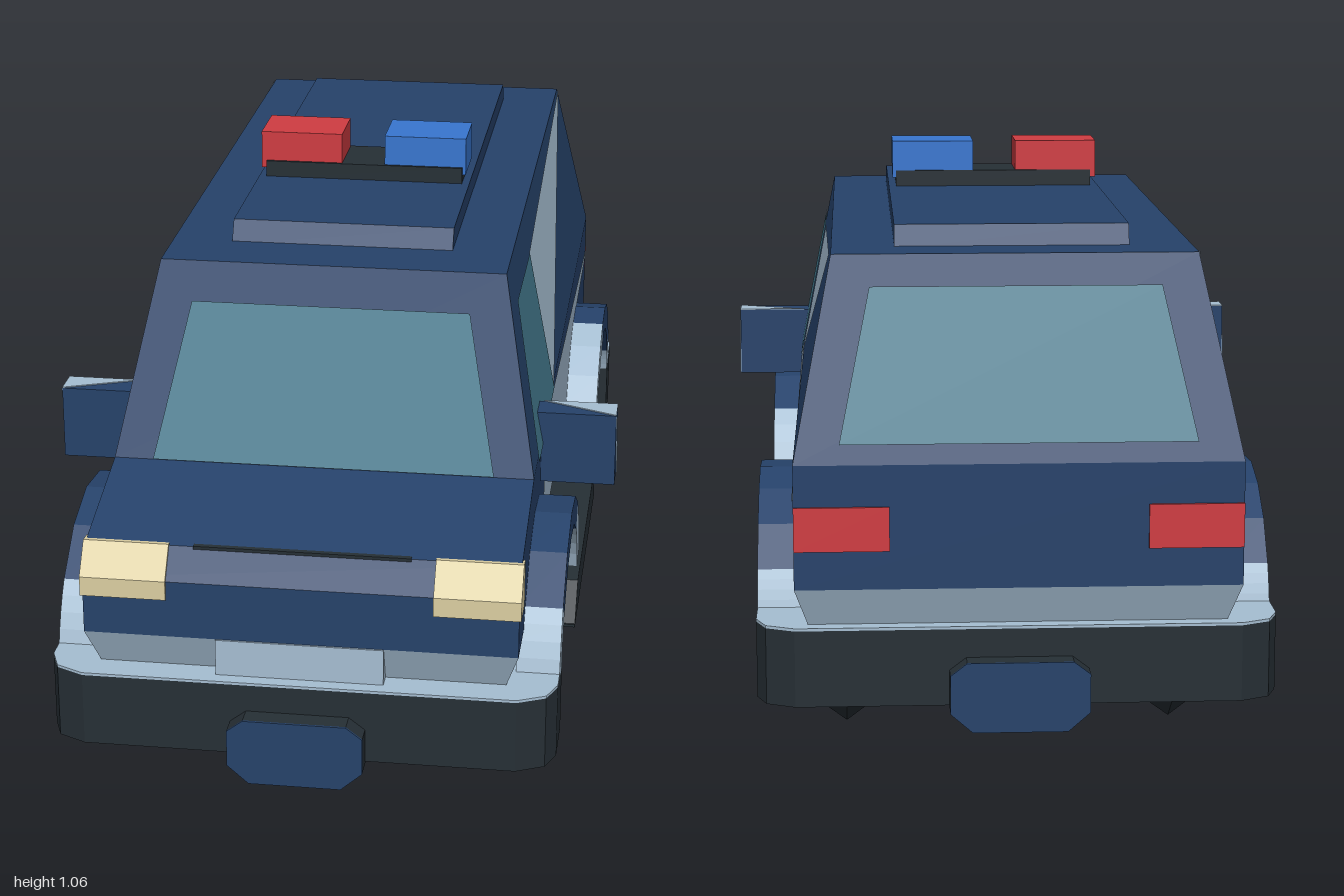
import * as THREE from 'three';

const mat = (name, color) => new THREE.MeshStandardMaterial({ name, color, side: THREE.DoubleSide });

export function createModel() {
  const navy = mat('navy paint', 0x26426a), pale = mat('pale blue paint', 0xa6bed2);
  const dark = mat('black trim', 0x262f35), glass = mat('teal glass', 0x447a8e);
  const red = mat('red lens', 0xd03c42), blue = mat('blue lens', 0x3876d0);
  const cream = mat('headlight lens', 0xdccfa2), slate = mat('slate spoke', 0x59647e);
  const root = new THREE.Group();
  root.name = 'policeVan';

  // Adds a mesh with flat facets
  function add(name, material, geo, parent = root) {
    const g = geo.index ? geo.toNonIndexed() : geo;
    g.computeVertexNormals();
    const m = new THREE.Mesh(g, material);
    m.name = name;
    parent.add(m);
    return m;
  }
  const shapeOf = pts => new THREE.Shape(pts.map(p => new THREE.Vector2(p[0], p[1])));
  const box = (name, m, x0, x1, y0, y1, z0, z1) => add(name, m,
    new THREE.BoxGeometry(x1 - x0, y1 - y0, z1 - z0).translate((x0 + x1) / 2, (y0 + y1) / 2, (z0 + z1) / 2));
  // Side profile of [z, y] points extruded across x
  const prism = (name, m, pts, x0, x1) => add(name, m,
    new THREE.ExtrudeGeometry(shapeOf(pts), { depth: x1 - x0, bevelEnabled: false })
      .rotateY(-Math.PI / 2).translate(x1, 0, 0));
  const prismPair = (name, m, pts, x0, x1) => {
    prism(name + 'Left', m, pts, x0, x1);
    prism(name + 'Right', m, pts, -x1, -x0);
  };
  // Plan outline of [x, z] points extruded in y
  const slab = (name, m, pts, y0, y1) => add(name, m,
    new THREE.ExtrudeGeometry(shapeOf(pts), { depth: y1 - y0, bevelEnabled: false })
      .rotateX(Math.PI / 2).translate(0, y1, 0));

  // Half width of the body at height y
  const halfWidth = y => y < 0.365 ? 0.4 - (0.365 - y) / 3 : y < 0.59 ? 0.4 : 0.4 - (y - 0.59) * 0.197;

  // Side skin from [z, y] points, laid on the body on both sides
  function skin(name, m, pts, out = 0) {
    for (const s of [1, -1]) {
      const g = new THREE.ShapeGeometry(shapeOf(pts)).toNonIndexed();
      const p = g.attributes.position;
      for (let i = 0; i < p.count; i += 3) {
        const v = [0, 1, 2].map(k => [p.getX(i + k), p.getY(i + k)]);
        if (s > 0) v.reverse();
        v.forEach(([z, y], k) => p.setXYZ(i + k, s * (halfWidth(y) + out), y, z));
      }
      add(name + (s > 0 ? 'Left' : 'Right'), m, g);
    }
  }
  // Cross panel between two [z, y, halfWidth] edges; a is the left edge of the outward face's base
  function panel(name, m, a, b) {
    const [az, ay, aw = halfWidth(ay)] = a, [bz, by, bw = halfWidth(by)] = b;
    const g = new THREE.BufferGeometry();
    g.setAttribute('position', new THREE.Float32BufferAttribute([
      -aw, ay, az, aw, ay, az, bw, by, bz, -aw, ay, az, bw, by, bz, -bw, by, bz], 3));
    add(name, m, g);
  }
  const arc = (cz, r, a0, a1, n = 8) => Array.from({ length: n + 1 }, (_, i) => {
    const a = (a0 + (a1 - a0) * i / n) * Math.PI / 180;
    return [cz + r * Math.cos(a), 0.215 + r * Math.sin(a)];
  });
  const FRONT = 0.57, REAR = -0.535;

  // Body shell: cross panels from nose to tail
  const outline = [[0.93, 0.365], [0.93, 0.475], [0.89, 0.53], [0.64, 0.59], [0.5, 0.945],
    [-0.82, 0.945], [-0.96, 0.59], [-0.96, 0.365]];
  ['nose', 'noseEdge', 'hood', 'windshieldFrame', 'roof', 'rearFrame', 'tail'].forEach((n, i) =>
    panel(n, navy, outline[i], outline[i + 1]));

  // Body sides, with wheel arches cut out
  skin('upperSide', navy, [[0.64, 0.59], [0.5, 0.945], [-0.82, 0.945], [-0.96, 0.59]]);
  skin('lowerSide', navy, [[0.93, 0.365], [0.93, 0.475], [0.89, 0.53], [0.64, 0.59], [-0.96, 0.59],
    [-0.96, 0.365], ...arc(REAR, 0.24, 141.3, 38.7), ...arc(FRONT, 0.24, 141.3, 38.7)]);
  skin('rockerPanel', pale, [[0.36, 0.365], [0.33, 0.32], [0.3, 0.29], [-0.24, 0.22], [-0.3, 0.365]]);
  skin('upperStripe', pale, [[0.165, 0.875], [-0.82, 0.945], [0.165, 0.59]], 0.003);
  skin('doorPanel', pale, [[0.42, 0.59], [0.165, 0.59], [-0.9, 0.525], [-0.9, 0.507], [-0.45, 0.49],
    [-0.348, 0.365], [0.383, 0.365]], 0.003);
  skin('sideWindow', glass, [[0.56, 0.59], [0.45, 0.875], [0.165, 0.875], [0.165, 0.59]], 0.004);

  // Windshield and rear window
  panel('windshield', glass, [0.644, 0.592, 0.325], [0.534, 0.875, 0.265]);
  panel('rearWindow', glass, [-0.847, 0.89, 0.262], [-0.952, 0.625, 0.318]);

  // Pale lower bands, grille and bumper tops at both ends
  panel('frontValance', pale, [0.9, 0.29], [0.93, 0.365]);
  panel('rearValance', pale, [-0.96, 0.365], [-0.93, 0.29]);
  skin('frontCorner', pale, [[0.93, 0.365], [0.9, 0.29], [0.8, 0.29], [0.757, 0.365]]);
  skin('rearCorner', pale, [[-0.96, 0.365], [-0.93, 0.29], [-0.765, 0.29], [-0.722, 0.365]]);
  box('grille', pale, -0.155, 0.155, 0.29, 0.365, 0.88, 0.934);
  box('hoodSeam', dark, -0.2, 0.2, 0.526, 0.532, 0.88, 0.893);

  // Bumpers with chamfered corners and number plates
  for (const s of [1, -1]) {
    const end = s > 0 ? 'front' : 'rear';
    const half = [[0.47, 0.785], [0.47, 0.89], [0.452, 0.935], [0.4, 0.96]];
    const plan = [...half, ...half.map(([x, z]) => [-x, z]).reverse()].map(([x, z]) => [x, s * z]);
    slab(end + 'Bumper', dark, plan, 0.15, 0.29);
    slab(end + 'BumperTop', pale, plan, 0.29, 0.295);
    const plate = shapeOf([[-0.085, 0.11], [0.085, 0.11], [0.125, 0.145], [0.125, 0.215],
      [0.095, 0.238], [-0.095, 0.238], [-0.125, 0.215], [-0.125, 0.145]]);
    const layer = (n, m, z, d) => add(end + n, m,
      new THREE.ExtrudeGeometry(plate, { depth: d, bevelEnabled: false }).translate(0, 0, s > 0 ? z : -z - d));
    layer('PlateHolder', dark, 0.95, 0.046);
    layer('Plate', navy, 0.996, 0.004);
  }

  // Sills and floor
  prism('underbody', dark, [[0.355, 0.15], [0.3, 0.29], [-0.24, 0.222], [-0.31, 0.15]], -0.372, 0.372);
  prismPair('sill', dark, [[0.36, 0.15], [0.29, 0.22], [-0.25, 0.22], [-0.31, 0.15]], 0.36, 0.47);
  const floor = [[0.47, 0.79], [0.2, 0.78], [0.2, 0.36], [0.47, 0.36], [0.47, -0.31], [0.2, -0.31],
    [0.2, -0.75], [0.47, -0.79]];
  slab('floor', dark, [...floor, ...floor.map(([x, z]) => [-x, z]).reverse()], 0.148, 0.154);

  // Wheel arch flares: [start angle, end angle, colour]
  const flares = [
    [FRONT, [[15, 40, pale], [40, 131, navy], [131, 165, pale]]],
    [REAR, [[15, 77, pale], [77, 150, navy], [150, 165, pale]]]];
  for (const [cz, parts] of flares)
    for (const [a0, a1, m] of parts)
      prismPair('archFlare', m, [...arc(cz, 0.29, a0, a1, 4), ...arc(cz, 0.235, a1, a0, 4)], 0.39, 0.47);

  // Wheels: ridged tyres with two-tone hub wedges on both faces
  for (const z of [FRONT, REAR])
    for (const s of [1, -1]) {
      const wheel = new THREE.Group();
      wheel.name = (z > 0 ? 'front' : 'rear') + (s > 0 ? 'Left' : 'Right') + 'Wheel';
      const profile = [[0.14, -0.105], [0.215, 0], [0.14, 0.105]].map(p => new THREE.Vector2(...p));
      add('tyre', dark, new THREE.LatheGeometry(profile, 10).rotateZ(Math.PI / 2), wheel);
      for (const f of [1, -1])
        for (let i = 0; i < 10; i++)
          add('hubWedge', i % 2 ? slate : pale, new THREE.CircleGeometry(0.14, 1, Math.PI * (i / 5 + 0.5), Math.PI / 5)
            .rotateY(f * Math.PI / 2).translate(f * 0.104, 0, 0), wheel);
      wheel.position.set(s * 0.31, 0.217, z);
      root.add(wheel);
    }

  // Lamps
  prismPair('headlight', cream, [[0.865, 0.44], [0.935, 0.44], [0.935, 0.477], [0.893, 0.533], [0.865, 0.53]], 0.245, 0.404);
  for (const s of [1, -1])
    box('tailLight', red, s > 0 ? 0.23 : -0.4, s > 0 ? 0.4 : -0.23, 0.435, 0.515, -0.965, -0.957);

  // Door mirrors with pale corner facets
  for (const s of [1, -1]) {
    box('mirror', navy, s > 0 ? 0.385 : -0.543, s > 0 ? 0.543 : -0.385, 0.512, 0.655, 0.405, 0.465);
    const tri = [[s * 0.543, 0.405], [s * 0.4, 0.405], [s * 0.543, 0.465]];
    slab('mirrorTop', pale, tri, 0.655, 0.657);
  }
  prismPair('mirrorSide', pale, [[0.465, 0.655], [0.405, 0.512], [0.405, 0.58]], 0.543, 0.545);

  // Raised roof panel and light bar
  prism('roofPanel', navy, [[0.38, 0.94], [0.355, 0.983], [-0.7, 0.983], [-0.72, 0.94]], -0.215, 0.215);
  box('lightBar', dark, -0.2, 0.2, 0.98, 1.015, -0.063, 0.068);
  box('redBeacon', red, -0.21, -0.045, 1.0, 1.075, -0.06, 0.062);
  box('blueBeacon', blue, 0.042, 0.207, 1.0, 1.075, -0.06, 0.062);
  return root;
}
